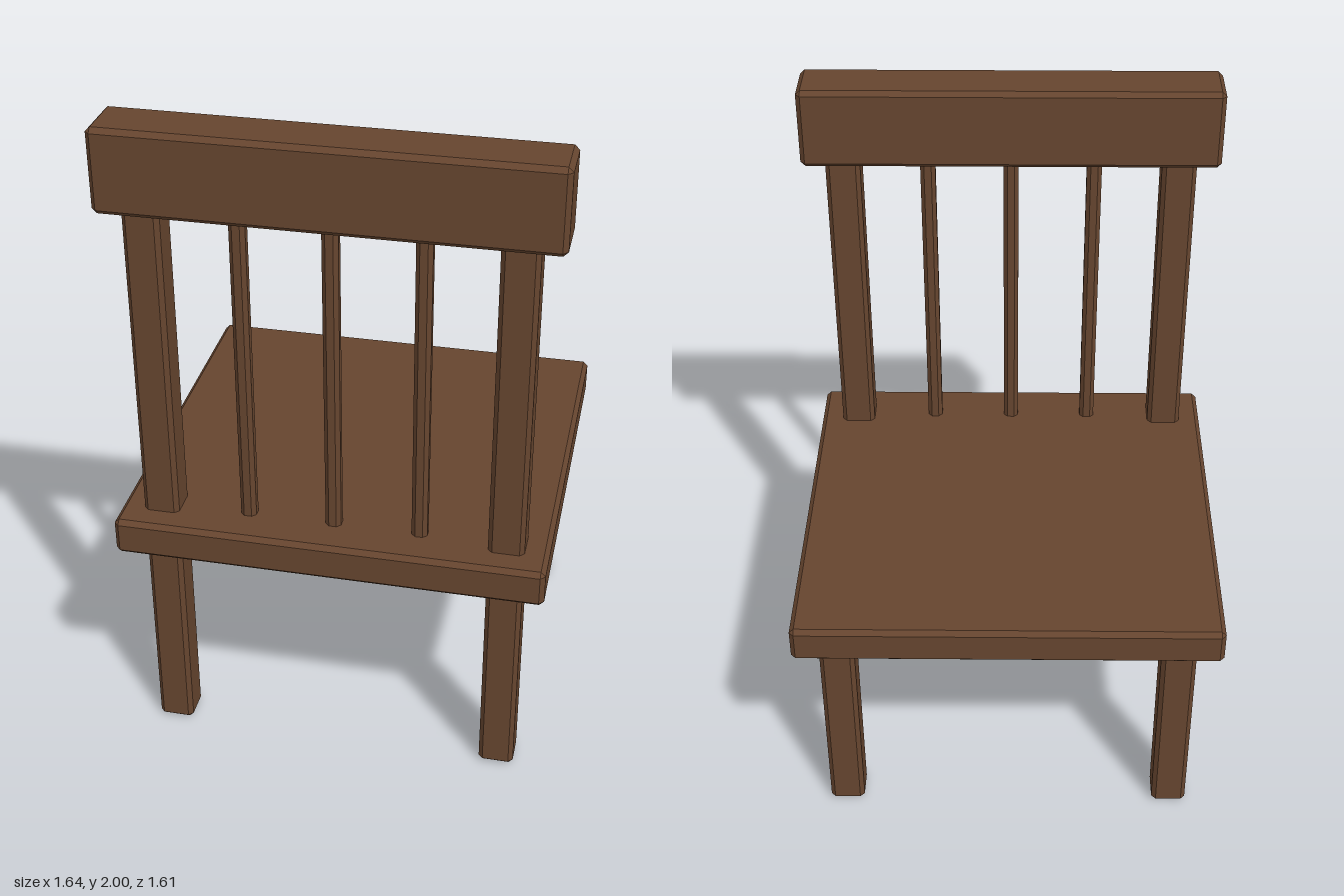
import * as THREE from 'three';
import { ConvexGeometry } from 'three/addons/geometries/ConvexGeometry.js';

// Box with flat chamfered edges, w x h x d overall
function chamferBox(w, h, d, c) {
  const half = [w / 2, h / 2, d / 2];
  const points = [];
  for (const sx of [-1, 1]) for (const sy of [-1, 1]) for (const sz of [-1, 1]) {
    for (let axis = 0; axis < 3; axis++) {
      const [x, y, z] = half.map((v, i) => (i === axis ? v : v - c));
      points.push(new THREE.Vector3(sx * x, sy * y, sz * z));
    }
  }
  return new ConvexGeometry(points);
}

export function createModel() {
  const wood = new THREE.MeshStandardMaterial({ color: 0x66452f });
  wood.name = 'darkWood';

  const chair = new THREE.Group();
  chair.name = 'chair';
  chair.rotation.y = 0.43; // the chair stands turned, its backrest towards +z

  function add(name, w, d, bottom, top, x, z, c) {
    const mesh = new THREE.Mesh(chamferBox(w, top - bottom, d, c), wood);
    mesh.name = name;
    mesh.position.set(x, (bottom + top) / 2, z);
    chair.add(mesh);
  }

  // Seat and top rail
  add('seat', 1.26, 1.21, 0.68, 0.795, 0, 0, 0.014);
  add('topRail', 1.26, 0.17, 1.755, 2, 0, 0.476, 0.014);

  for (const [side, x] of [['right', -0.508], ['left', 0.508]]) {
    // Legs, and back posts standing above the rear pair
    add(side + 'BackLeg', 0.105, 0.105, 0, 0.7, x, 0.476, 0.013);
    add(side + 'SeatLeg', 0.105, 0.105, 0, 0.7, x, -0.476, 0.013);
    add(side + 'BackPost', 0.105, 0.105, 0.77, 1.78, x, 0.476, 0.013);
  }

  // Slim spindles between the posts
  for (const x of [-0.253, 0, 0.253]) {
    add('spindle', 0.046, 0.046, 0.77, 1.78, x, 0.476, 0.012);
  }

  const model = new THREE.Group();
  model.name = 'model';
  model.add(chair);
  return model;
}
